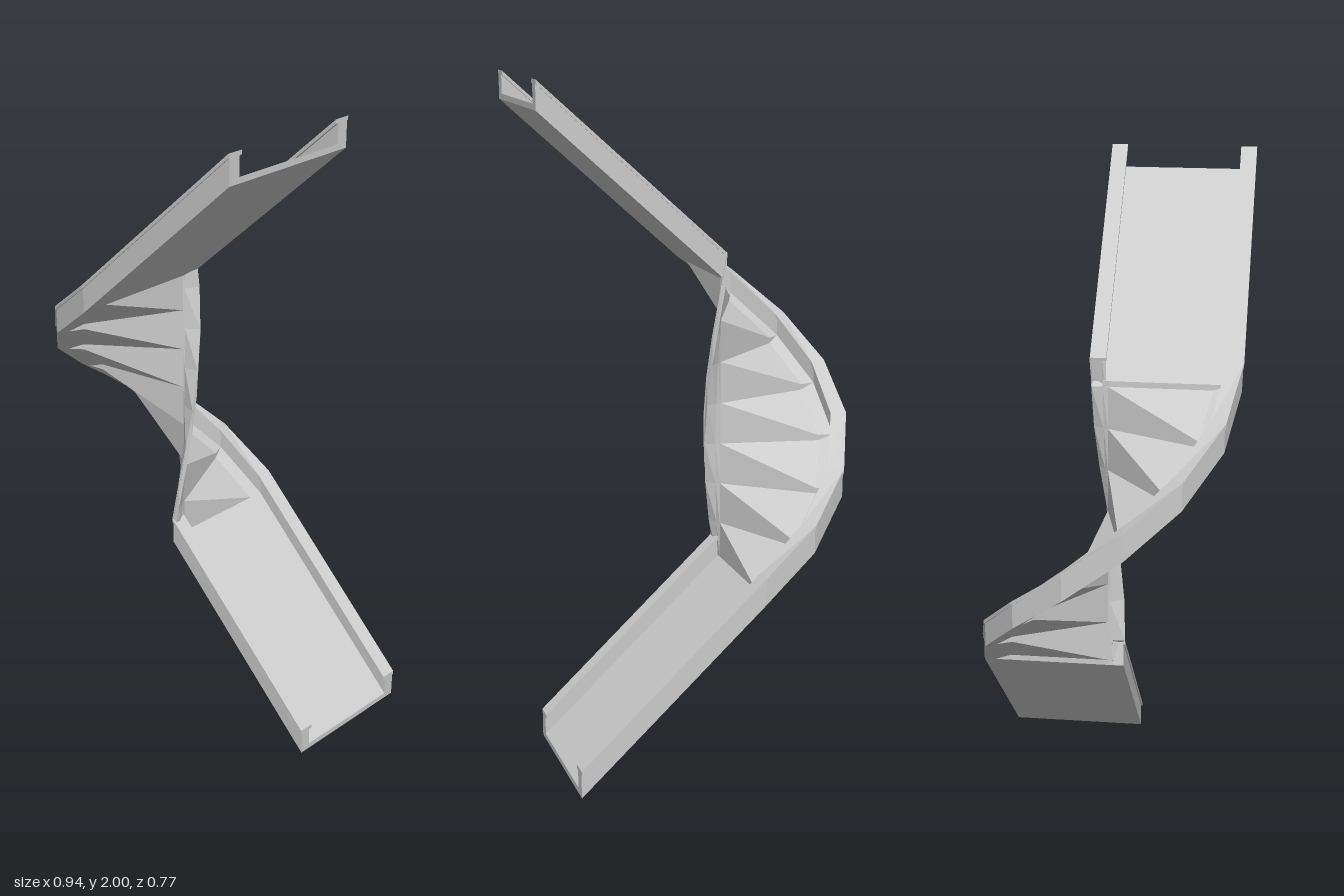
import * as THREE from 'three';

const PIVOT_X = -0.093, END_X = 0.47, STEPS = 7;

// Stations along the chute: upper end, half-turn about a vertical pivot, lower end
function makeStations() {
  const list = [{ x: END_X, y: 1.915, t: 0 }];
  for (let i = 0; i <= STEPS; i++) {
    const k = i / STEPS;
    list.push({ x: PIVOT_X, y: THREE.MathUtils.lerp(1.405, 0.515, k), t: k * Math.PI });
  }
  list.push({ x: END_X, y: 0, t: Math.PI });
  return list;
}

// Sweep a counter-clockwise [radius, height] profile through the stations, with flat facets
function sweep(profile, stations) {
  const n = profile.length;
  const pos = [], idx = [];
  for (const s of stations) {
    for (const [r, h] of profile) {
      pos.push(s.x - r * Math.sin(s.t), s.y + h, r * Math.cos(s.t));
    }
  }
  for (let i = 0; i < stations.length - 1; i++) {
    for (let j = 0; j < n; j++) {
      const a = i * n + j, b = i * n + (j + 1) % n;
      idx.push(a, b, b + n, a, b + n, a + n);
    }
  }
  // end caps
  const last = (stations.length - 1) * n;
  const outline = profile.map(([r, h]) => new THREE.Vector2(r, h));
  for (const [a, b, c] of THREE.ShapeUtils.triangulateShape(outline, [])) {
    idx.push(c, b, a, last + a, last + b, last + c);
  }
  const geo = new THREE.BufferGeometry();
  geo.setAttribute('position', new THREE.Float32BufferAttribute(pos, 3));
  geo.setIndex(idx);
  const flat = geo.toNonIndexed();
  flat.computeVertexNormals();
  return flat;
}

// Side wall with a thin cap that overhangs on both faces
function railProfile(capIn, wallIn, wallOut, capOut) {
  return [
    [wallIn, 0], [wallOut, 0], [wallOut, 0.073], [capOut, 0.073],
    [capOut, 0.085], [capIn, 0.085], [capIn, 0.073], [wallIn, 0.073],
  ];
}

export function createModel() {
  const group = new THREE.Group();
  group.name = 'spiralChute';
  // both sides show: the twisted floor sheets cross and the inner rail passes behind the pivot
  const material = new THREE.MeshStandardMaterial({
    color: 0xcccccc, flatShading: true, side: THREE.DoubleSide,
  });
  const stations = makeStations();

  const parts = {
    // the floor narrows to the pivot, so the turn becomes wedge-shaped steps
    floor: [[-0.015, 0], [0, 0], [0.348, 0], [0.348, 0.017], [0, 0.017], [-0.015, 0.017]],
    outerRail: railProfile(0.339, 0.348, 0.383, 0.387),
    innerRail: railProfile(-0.052, -0.048, -0.015, -0.005),
  };
  for (const [name, profile] of Object.entries(parts)) {
    const mesh = new THREE.Mesh(sweep(profile, stations), material);
    mesh.name = name;
    group.add(mesh);
  }
  return group;
}
